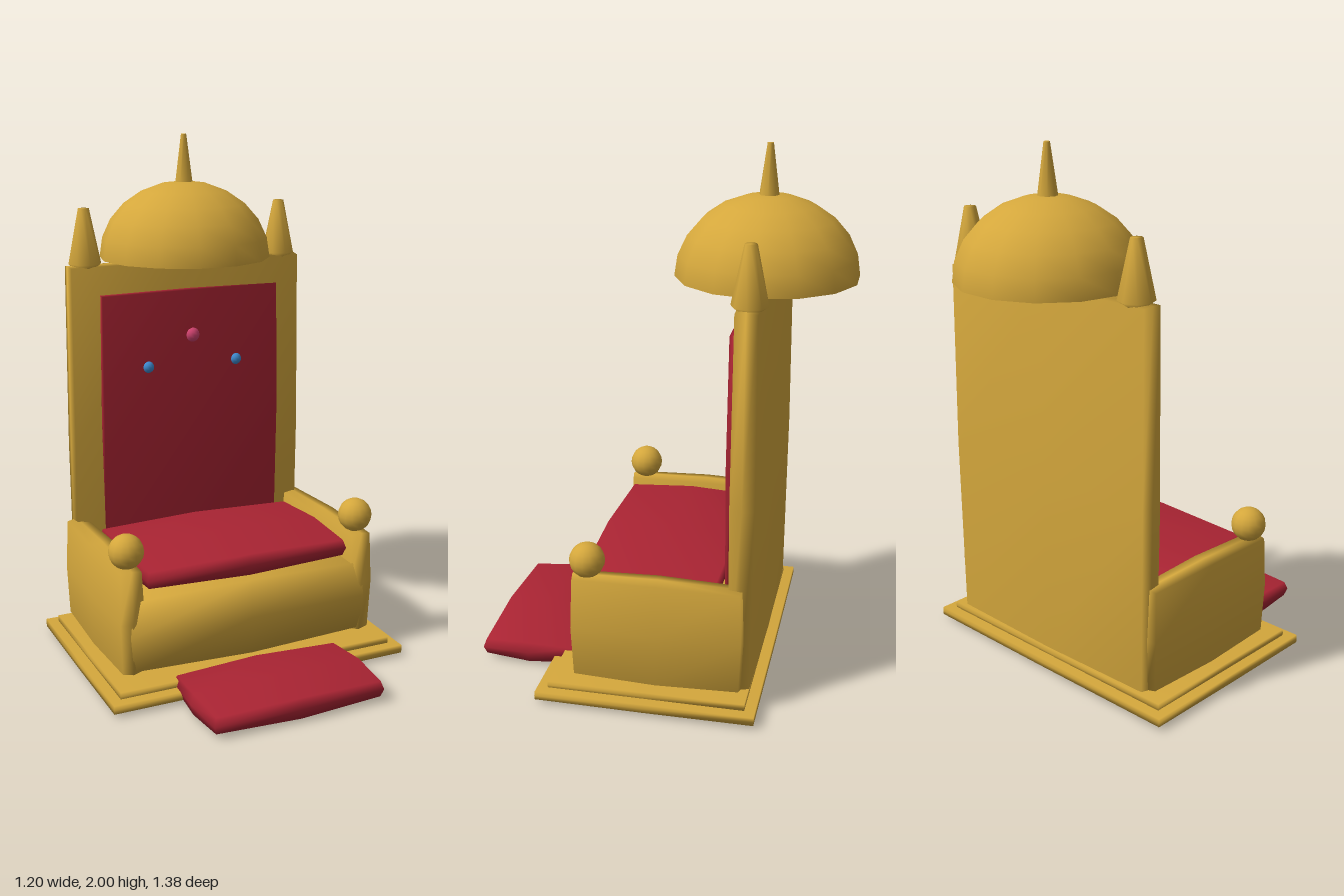
import * as THREE from 'three';
import { mergeVertices } from 'three/addons/utils/BufferGeometryUtils.js';

const mat = (color) => new THREE.MeshStandardMaterial({ color });

// Box between two corners whose edges and faces swell outward by `bulge`, smoothly shaded.
function puffedBox([x0, y0, z0], [x1, y1, z1], bulge) {
  const half = [(x1 - x0) / 2, (y1 - y0) / 2, (z1 - z0) / 2];
  let g = new THREE.BoxGeometry(2, 2, 2, 2, 2, 2);
  g.deleteAttribute('normal');
  g.deleteAttribute('uv');
  g = mergeVertices(g);
  const p = g.attributes.position;
  for (let i = 0; i < p.count; i++) {
    const c = [p.getX(i), p.getY(i), p.getZ(i)];
    const out = c.map((v, a) => {
      const u = c[(a + 1) % 3], w = c[(a + 2) % 3];
      return v * (half[a] + bulge * (2 - u * u - w * w) / 2);
    });
    p.setXYZ(i, ...out);
  }
  g.translate((x0 + x1) / 2, (y0 + y1) / 2, (z0 + z1) / 2);
  g.computeVertexNormals();
  return g;
}

export function createModel() {
  const group = new THREE.Group();
  const gold = mat(0xd4a73c), red = mat(0xaa2433), pink = mat(0xd0436f), blue = mat(0x3f8bd0);
  const add = (name, geometry, material, x = 0, y = 0, z = 0) => {
    const m = new THREE.Mesh(geometry, material);
    m.name = name;
    m.position.set(x, y, z);
    group.add(m);
    return m;
  };
  const backZ = -0.357;

  // Stepped base
  add('lowerStep', puffedBox([-0.6, 0.013, -0.43], [0.6, 0.045, 0.39], 0.002), gold);
  add('upperStep', puffedBox([-0.56, 0.04, -0.39], [0.56, 0.07, 0.35], 0.002), gold);

  // Footstool cushion
  add('footCushion', puffedBox([-0.33, 0.017, 0.322], [0.33, 0.078, 0.673], 0.02), red);

  // Seat block and cushion
  add('seatBlock', puffedBox([-0.477, 0.095, -0.35], [0.477, 0.37, 0.265], 0.022), gold);
  add('seatCushion', puffedBox([-0.405, 0.405, -0.255], [0.405, 0.468, 0.247], 0.02), red);

  // Backrest and padded panel
  add('backrest', puffedBox([-0.484, 0.09, -0.396], [0.484, 1.508, -0.316], 0.01), gold);
  add('backPanel', puffedBox([-0.373, 0.38, -0.308], [0.373, 1.396, -0.283], 0.01), red);

  // Corner finial: tapered, with a shallow pointed underside
  const finial = new THREE.LatheGeometry([[0, 1.49], [0.03, 1.495], [0.066, 1.52], [0.022, 1.73], [0, 1.73]]
    .map(([r, y]) => new THREE.Vector2(r, y)), 8);

  // Paired parts
  for (const s of [1, -1]) {
    const side = s > 0 ? 'left' : 'right';
    add(side + 'Arm', puffedBox([s * 0.478 - 0.04, 0.092, -0.36], [s * 0.478 + 0.04, 0.483, 0.26], 0.014), gold);
    add(side + 'ArmKnob', new THREE.SphereGeometry(0.066, 14, 10), gold, s * 0.478, 0.55, 0.21);
    add(side + 'Finial', finial, gold, s * 0.416, 0, backZ);
    add(side + 'BlueGem', new THREE.SphereGeometry(0.024, 12, 8), blue, s * 0.19, 1.105, -0.284);
  }
  add('centreGem', new THREE.SphereGeometry(0.031, 12, 8), pink, 0, 1.22, -0.288);

  // Dome canopy, closed underneath, with a spire
  const dome = add('dome', new THREE.SphereGeometry(0.338, 14, 6, 0, Math.PI * 2, 0, Math.PI / 2), gold, 0, 1.522, backZ);
  dome.scale.y = 0.885;
  const under = add('domeUnderside', new THREE.CircleGeometry(0.338, 14), gold, 0, 1.522, backZ);
  under.rotation.x = Math.PI / 2;
  add('spire', new THREE.CylinderGeometry(0.011, 0.037, 0.19, 8), gold, 0, 1.905, backZ);

  return group;
}
